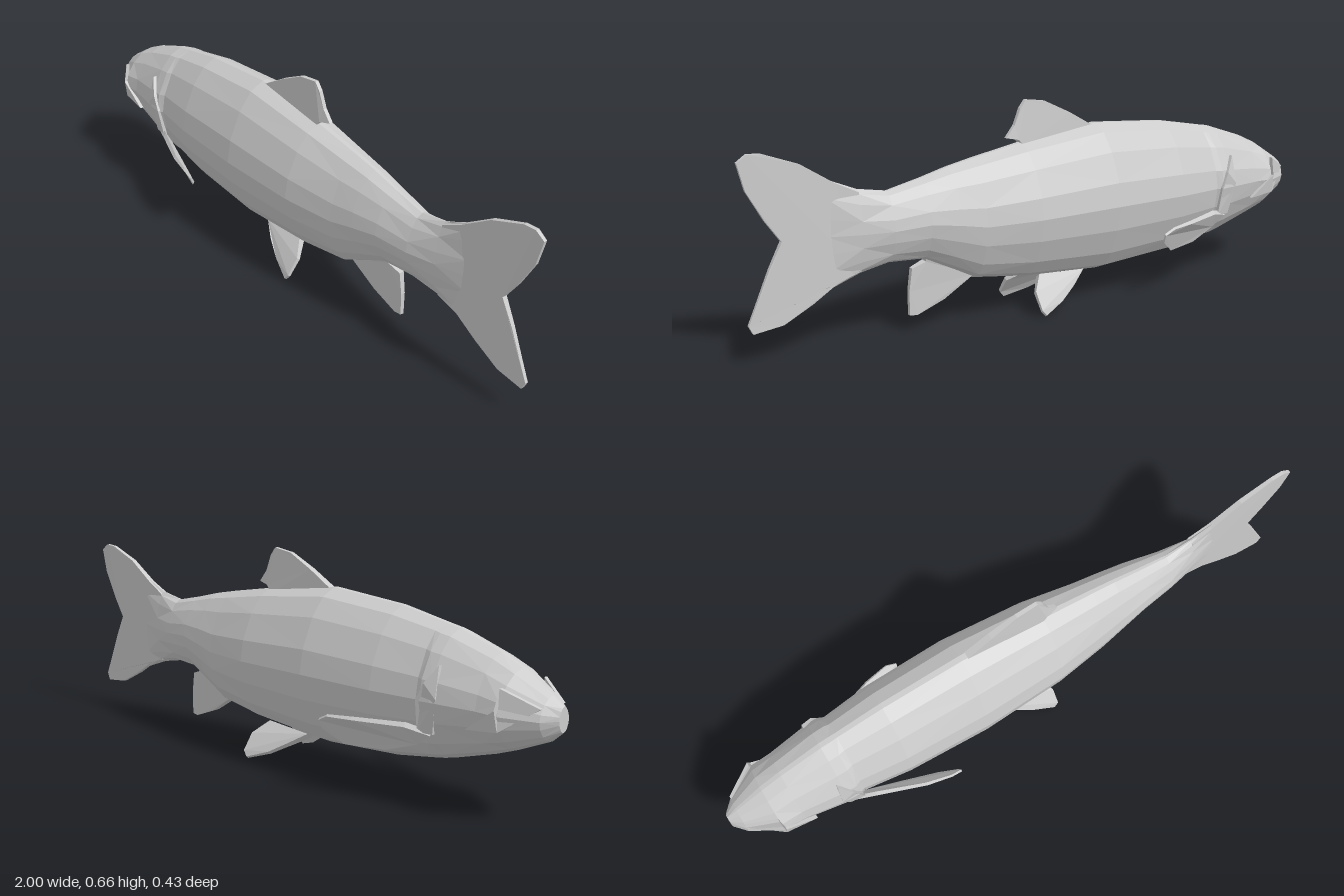
import * as THREE from 'three';

const scales = new THREE.MeshStandardMaterial({ color: 0xcccccc, side: THREE.DoubleSide });
scales.name = 'pale grey';

// Faceted mesh from points and triangle indices
function facetMesh(name, points, index) {
  const g = new THREE.BufferGeometry();
  g.setAttribute('position', new THREE.Float32BufferAttribute(points.flat(), 3));
  g.setIndex(index);
  const flat = g.toNonIndexed();
  flat.computeVertexNormals();
  const mesh = new THREE.Mesh(flat, scales);
  mesh.name = name;
  return mesh;
}

// Lofted body: stations are [x, bottom, top, half width]
function body() {
  const stations = [
    [-1.0, 0.275, 0.345, 0.022], [-0.965, 0.245, 0.37, 0.06], [-0.87, 0.205, 0.428, 0.114],
    [-0.8, 0.18, 0.46, 0.115], [-0.66, 0.14, 0.507, 0.135], [-0.625, 0.132, 0.513, 0.136],
    [-0.605, 0.128, 0.517, 0.126], [-0.45, 0.105, 0.546, 0.145], [-0.18, 0.09, 0.568, 0.153],
    [0.1, 0.112, 0.535, 0.137], [0.28, 0.138, 0.505, 0.108], [0.36, 0.18, 0.49, 0.095],
    [0.45, 0.225, 0.468, 0.08], [0.56, 0.232, 0.445, 0.06], [0.65, 0.215, 0.462, 0.036],
    [0.75, 0.18, 0.505, 0.009],
  ];
  // Half of the cross-section: [height -1..1, width 0..1]
  const half = [[1, 0.06], [0.9, 0.37], [0.66, 0.66], [0.28, 0.92], [-0.03, 1],
    [-0.36, 0.91], [-0.7, 0.69], [-0.9, 0.46], [-1, 0.1]];
  const ring = [...half, ...half.map(([h, w]) => [h, -w]).reverse()];
  const n = ring.length;
  const points = [], index = [];
  stations.forEach(([x, lo, hi, w]) => ring.forEach(([h, k]) =>
    points.push([x, (lo + hi) / 2 + h * (hi - lo) / 2, k * w])));
  for (let i = 0; i < stations.length - 1; i++) {
    for (let j = 0; j < n; j++) {
      const k = (j + 1) % n;
      const a = i * n + j, b = i * n + k, c = a + n, d = b + n;
      // Alternate diagonals for irregular facets
      if ((i + j) % 2) index.push(a, b, c, b, d, c);
      else index.push(a, b, d, a, d, c);
    }
  }
  const last = (stations.length - 1) * n;
  for (let j = 1; j < n - 1; j++) {
    index.push(0, j + 1, j, last, last + j, last + j + 1);
  }
  return facetMesh('body', points, index);
}

// Thin plate from an outline of [x, y, z, half thickness], thickened along a direction
function fin(name, outline, dir = [0, 0, 1]) {
  let contour = outline;
  if (THREE.ShapeUtils.isClockWise(contour.map(([x, y]) => new THREE.Vector2(x, y)))) {
    contour = [...outline].reverse();
  }
  const n = contour.length;
  const layer = (s) => contour.map(([x, y, z, t]) =>
    [x + s * t * dir[0], y + s * t * dir[1], z + s * t * dir[2]]);
  const points = [...layer(1), ...layer(-1)];
  const index = [];
  const flat = contour.map(([x, y]) => new THREE.Vector2(x, y));
  THREE.ShapeUtils.triangulateShape(flat, []).forEach(([a, b, c]) =>
    index.push(a, b, c, a + n, c + n, b + n));
  for (let i = 0; i < n; i++) {
    const k = (i + 1) % n;
    index.push(i, i + n, k, k, i + n, k + n);
  }
  return facetMesh(name, points, index);
}

export function createModel() {
  const fish = new THREE.Group();
  fish.name = 'fish';
  fish.add(body());

  // Fins on the centre line
  fish.add(fin('dorsalFin', [
    [-0.18, 0.555, 0, 0.012], [-0.08, 0.612, 0, 0.01], [0.01, 0.655, 0, 0.007],
    [0.08, 0.665, 0, 0.006], [0.1, 0.64, 0, 0.006], [0.12, 0.59, 0, 0.006],
    [0.15, 0.553, 0, 0.006], [0.11, 0.545, 0, 0.014], [0.09, 0.52, 0, 0.016],
  ]));
  fish.add(fin('analFin', [
    [0.28, 0.15, 0, 0.02], [0.38, 0.087, 0, 0.012], [0.47, 0.053, 0, 0.008],
    [0.495, 0.055, 0, 0.006], [0.495, 0.13, 0, 0.007], [0.485, 0.2, 0, 0.008],
    [0.44, 0.215, 0, 0.014], [0.45, 0.25, 0, 0.02], [0.34, 0.24, 0, 0.03],
  ]));
  fish.add(fin('tailFin', [
    [0.65, 0.455, 0, 0.014], [0.72, 0.49, 0, 0.01], [0.82, 0.555, 0, 0.008],
    [0.93, 0.597, 0, 0.006], [0.97, 0.6, 0, 0.006], [1.0, 0.58, 0, 0.005],
    [0.98, 0.5, 0, 0.005], [0.93, 0.41, 0, 0.006], [0.885, 0.345, 0, 0.008],
    [0.925, 0.27, 0, 0.006], [0.965, 0.18, 0, 0.005], [0.992, 0.12, 0, 0.005],
    [0.98, 0.095, 0, 0.006], [0.89, 0.105, 0, 0.007], [0.8, 0.15, 0, 0.008],
    [0.72, 0.2, 0, 0.01], [0.65, 0.222, 0, 0.014],
  ]));

  // Paired fins, side +1 is left and -1 is right
  for (const side of [1, -1]) {
    const label = side > 0 ? 'left' : 'right';
    const flip = (pts) => pts.map(([x, y, z, t]) => [x, y, z * side, t]);
    fish.add(fin(label + 'PectoralFin', flip([
      [-0.65, 0.225, 0.11, 0.008], [-0.58, 0.243, 0.14, 0.008], [-0.43, 0.243, 0.195, 0.006],
      [-0.35, 0.24, 0.212, 0.004], [-0.315, 0.222, 0.208, 0.004], [-0.32, 0.195, 0.195, 0.004],
      [-0.375, 0.155, 0.162, 0.005], [-0.5, 0.158, 0.125, 0.007], [-0.6, 0.19, 0.105, 0.008],
    ]), [0, 0.75, -0.65 * side]));
    fish.add(fin(label + 'PelvicFin', flip([
      [-0.11, 0.1, 0.04, 0.012], [-0.05, 0.065, 0.075, 0.009], [0.01, 0.032, 0.1, 0.007],
      [0.085, 0.007, 0.125, 0.005], [0.1, 0.025, 0.122, 0.005], [0.1, 0.075, 0.085, 0.007],
      [0.06, 0.112, 0.04, 0.012],
    ]), [0, 0.6, 0.8 * side]));
    // Cheek plate around the eye
    fish.add(fin(label + 'Cheek', flip([
      [-0.965, 0.34, 0.05, 0.006], [-0.87, 0.388, 0.1, 0.006],
      [-0.865, 0.33, 0.115, 0.006], [-0.77, 0.262, 0.113, 0.006], [-0.87, 0.27, 0.106, 0.006],
    ])));
    // Rear edge of the gill cover
    fish.add(fin(label + 'GillCover', flip([
      [-0.675, 0.42, 0.108, 0.006], [-0.64, 0.37, 0.131, 0.006], [-0.615, 0.32, 0.134, 0.006],
      [-0.61, 0.225, 0.118, 0.006], [-0.66, 0.225, 0.112, 0.006], [-0.68, 0.33, 0.128, 0.006],
    ])));
  }
  return fish;
}
